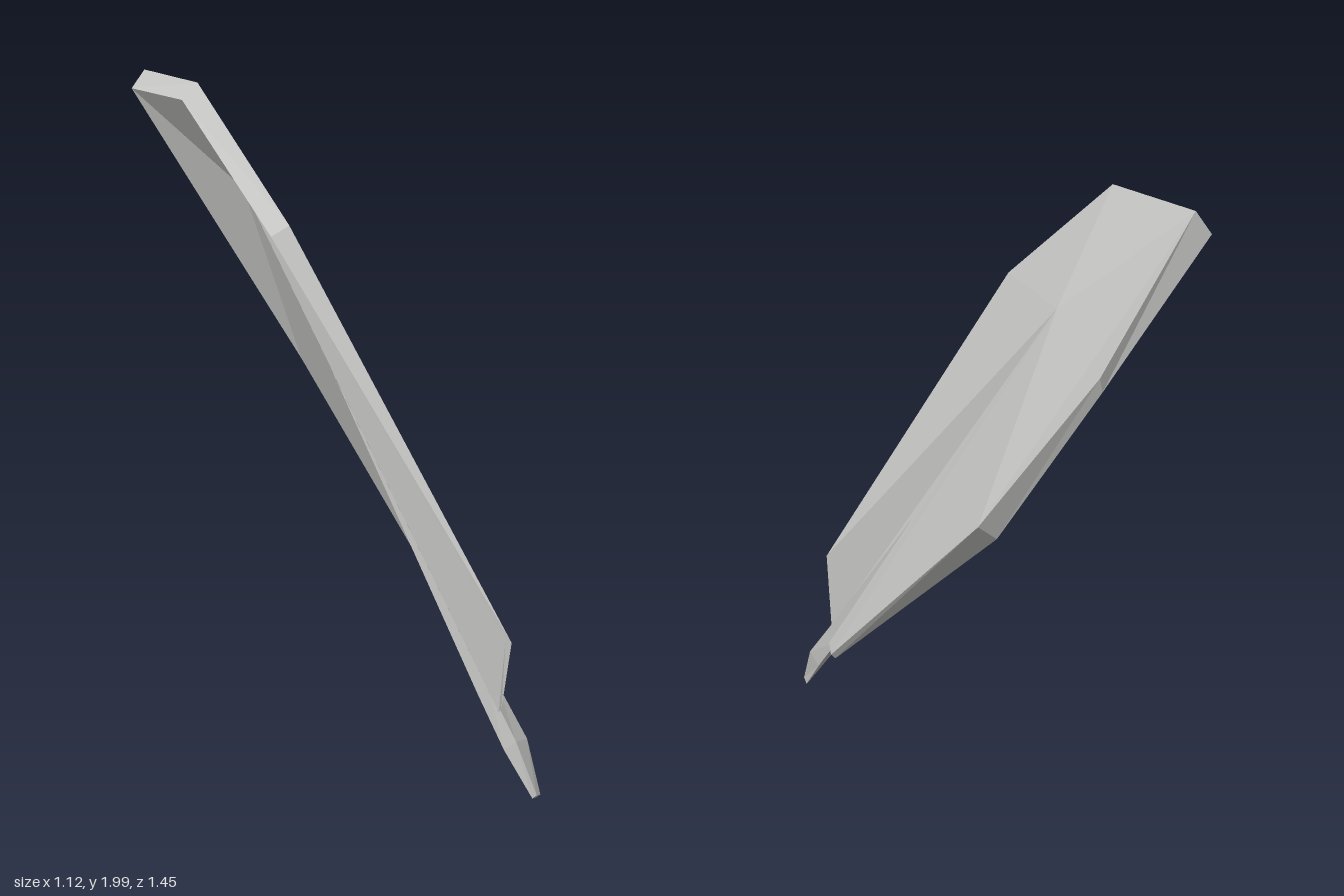
import * as THREE from 'three';

const grey = new THREE.MeshStandardMaterial({ color: 0xc4c4c2 });
grey.name = 'feather grey';

// Faceted mesh from a list of triangles, each made of three [x, y, z] corners
function facetedMesh(name, triangles) {
  const geometry = new THREE.BufferGeometry();
  geometry.setAttribute('position', new THREE.Float32BufferAttribute(triangles.flat(2), 3));
  geometry.computeVertexNormals();
  const mesh = new THREE.Mesh(geometry, grey);
  mesh.name = name;
  return mesh;
}

// Thin vane folded along a central crease: outline corners on each side
function buildVane() {
  const outer = [
    [-0.13, 1.68, 0.055], [0.455, 0.55, 0.63], [0.445, 0.285, 0.6],
    [0.455, 0.25, 0.51], [0.45, 0.29, 0.34], [0.02, 1.05, -0.49],
    [-0.275, 1.54, -0.73], [-0.515, 1.97, -0.71], [-0.36, 2.0, -0.39],
  ];
  const inner = [
    [-0.185, 1.65, 0.06], [0.44, 0.55, 0.615], [0.437, 0.275, 0.6],
    [0.445, 0.24, 0.515], [0.435, 0.275, 0.34], [-0.035, 1.01, -0.485],
    [-0.285, 1.5, -0.72], [-0.56, 1.91, -0.71], [-0.41, 1.95, -0.38],
  ];
  const outerCrease = [-0.205, 1.665, -0.43];
  const innerCrease = [-0.225, 1.645, -0.43];

  // Fan around the top of the crease, with one corner facet at the tip
  const fan = (crease, rim) => {
    const faces = [[rim[5], rim[6], rim[7]]];
    rim.forEach((p, i) => {
      if (i === 6) return;
      faces.push([crease, p, rim[i === 5 ? 7 : (i + 1) % rim.length]]);
    });
    return faces;
  };
  const triangles = fan(outerCrease, outer);
  for (const [a, b, c] of fan(innerCrease, inner)) triangles.push([a, c, b]);

  // Rim joining both sides
  outer.forEach((a, i) => {
    const j = (i + 1) % outer.length;
    triangles.push([outer[j], a, inner[i]], [outer[j], inner[i], inner[j]]);
  });
  return facetedMesh('vane', triangles);
}

// Four-sided shaft, tapering from the quill to a point in the crease
function buildShaft() {
  const across = [-0.17, 0.75, 0.64];
  const outward = [0.93, 0.34, -0.15];
  const stations = [
    { at: [0.542, 0.026, 0.71], wide: 0.022, deep: 0.014 },
    { at: [0.49, 0.165, 0.625], wide: 0.048, deep: 0.04 },
    { at: [0.42, 0.305, 0.525], wide: 0.05, deep: 0.035 },
    { at: [-0.03, 1.25, -0.15], wide: 0.001, deep: 0.001 },
  ];
  const rings = stations.map(({ at, wide, deep }) =>
    [[wide, 0], [0, deep], [-wide, 0], [0, -deep]].map(([w, d]) =>
      at.map((v, k) => v + across[k] * w + outward[k] * d)));

  const triangles = [];
  for (let r = 0; r < rings.length - 1; r++) {
    for (let i = 0; i < 4; i++) {
      const j = (i + 1) % 4;
      const [a, b, c, d] = [rings[r][i], rings[r][j], rings[r + 1][j], rings[r + 1][i]];
      triangles.push([a, b, c], [a, c, d]);
    }
  }
  // Quill end
  const [p, q, s, t] = rings[0];
  triangles.push([p, s, q], [p, t, s]);
  return facetedMesh('shaft', triangles);
}

export function createModel() {
  const feather = new THREE.Group();
  feather.name = 'feather';
  feather.add(buildVane(), buildShaft());
  return feather;
}
